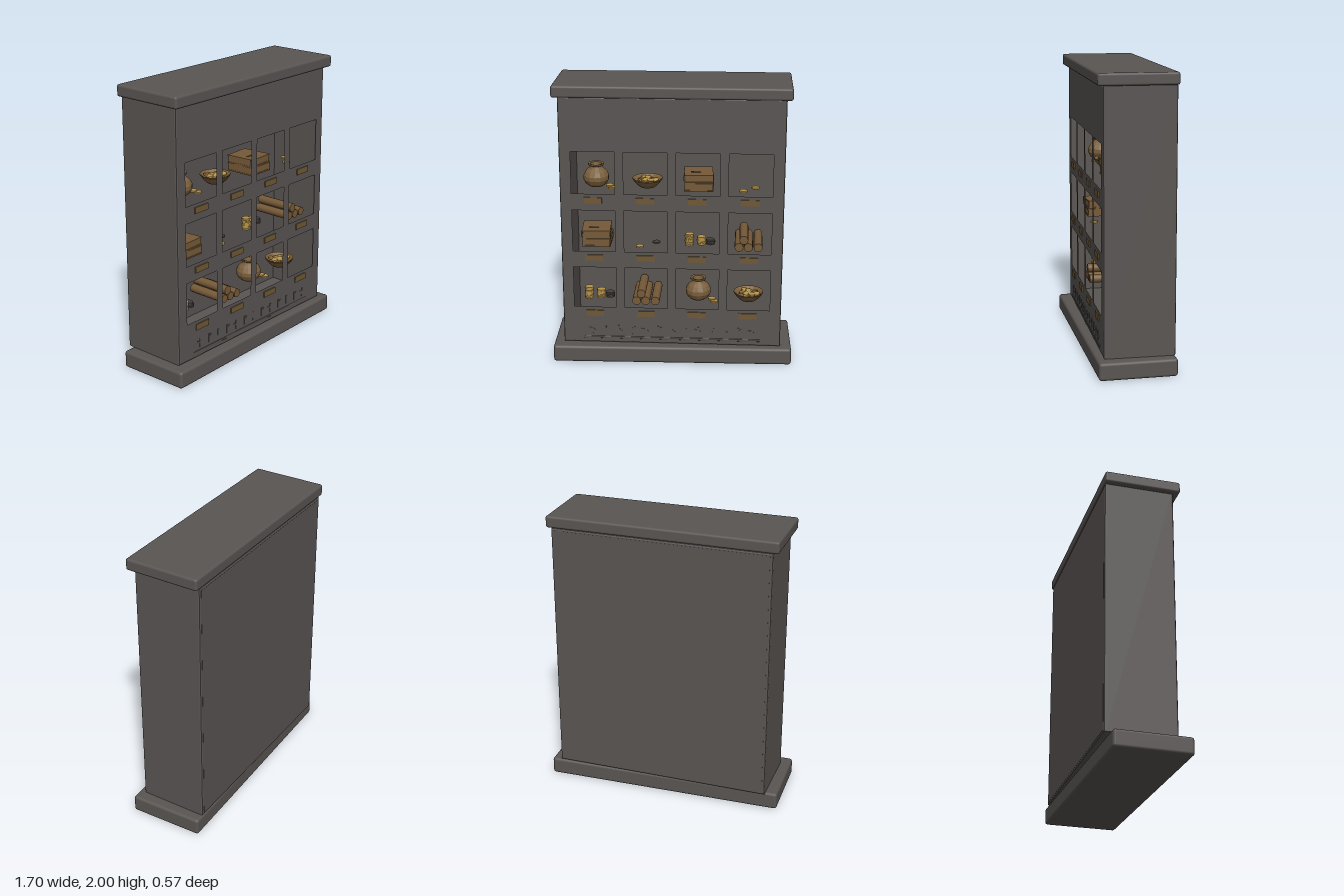
import * as THREE from 'three';
import { RoundedBoxGeometry } from 'three/addons/geometries/RoundedBoxGeometry.js';

const mat = (name, color, extra = {}) => {
  const m = new THREE.MeshStandardMaterial({ color, ...extra });
  m.name = name;
  return m;
};

export function createModel() {
  const stone = mat('dark stone', 0x595553, { side: THREE.DoubleSide });
  const clay = mat('brown clay', 0x7a5f3c, { flatShading: true, side: THREE.DoubleSide });
  const wood = mat('brown wood', 0x765a38);
  const brass = mat('dull brass', 0x6f5836);
  const gold = mat('gold', 0xb8944a);
  const iron = mat('dark iron', 0x454240);

  const model = new THREE.Group();
  model.name = 'treasureCabinet';

  const add = (parent, name, geo, material, x = 0, y = 0, z = 0) => {
    const m = new THREE.Mesh(geo, material);
    m.name = name;
    m.position.set(x, y, z);
    parent.add(m);
    return m;
  };
  const box = (w, h, d) => new THREE.BoxGeometry(w, h, d);
  const rect = (C, x0, y0, x1, y1) => {
    const p = new C();
    p.moveTo(x0, y0);
    p.lineTo(x1, y0);
    p.lineTo(x1, y1);
    p.lineTo(x0, y1);
    p.closePath();
    return p;
  };

  // Base (slightly turned) and top slab
  const base = add(model, 'base', new RoundedBoxGeometry(1.69, 0.122, 0.53, 3, 0.02), stone, 0, 0.061, 0);
  base.rotation.y = 0.023;
  add(model, 'topSlab', new RoundedBoxGeometry(1.615, 0.082, 0.53, 3, 0.016), stone, 0, 1.959, -0.02);

  // Hollow body: bevelled frame, back panel and front panel with openings
  const bev = 0.012;
  const frame = rect(THREE.Shape, -0.77 + bev, 0.125 + bev, 0.77 - bev, 1.92 - bev);
  frame.holes.push(rect(THREE.Path, -0.715, 0.18, 0.715, 1.87));
  const frameGeo = new THREE.ExtrudeGeometry(frame, {
    depth: 0.485 - 2 * bev, bevelThickness: bev, bevelSize: bev, bevelSegments: 2,
  });
  add(model, 'bodyFrame', frameGeo, stone, 0, 0, -0.281 + bev);
  add(model, 'backPanel', box(1.5, 1.76, 0.097), stone, 0, 1.0225, -0.2335);

  const columns = [-0.54, -0.18, 0.18, 0.54];
  const rows = [1.24, 0.82, 0.4];
  const front = rect(THREE.Shape, -0.757, 0.138, 0.757, 1.907);
  for (const x of columns) for (const y of rows) {
    front.holes.push(rect(THREE.Path, x - 0.15, y, x + 0.15, y + 0.3));
  }
  add(model, 'frontPanel', new THREE.ShapeGeometry(front), stone, 0, 0, 0.205);

  // Small ornamental marks above a long raised strip
  add(model, 'raisedStrip', new RoundedBoxGeometry(1.25, 0.016, 0.006, 2, 0.003), stone, 0, 0.167, 0.206);
  for (let i = 0; i < 13; i++) {
    const mark = new THREE.Group();
    mark.name = 'raisedMark';
    mark.position.set(-0.567 + i * 0.0945, 0.228, 0.206);
    add(mark, 'upright', box(0.011, 0.065, 0.006), stone);
    const side = i % 2 ? 1 : -1;
    const tick = add(mark, 'tick', box(0.032, 0.01, 0.006), stone, 0.012, 0.006 + side * 0.008, 0);
    tick.rotation.z = 0.7 * side;
    if (i % 4 === 0) {
      add(mark, 'crossbar', box(0.04, 0.01, 0.006), stone, -0.006, 0.005, 0).rotation.z = -0.4;
    }
    model.add(mark);
  }

  const coin = (g, x, y, z, material = gold, r = 0.028) =>
    add(g, 'coin', new THREE.CylinderGeometry(r, r, 0.011, 12), material, x, y + 0.0055, z);

  // Round pot with a narrow neck and flared lip
  const pot = (g) => {
    const pts = [[0, 0], [0.05, 0.001], [0.075, 0.02], [0.09, 0.05], [0.09, 0.078], [0.075, 0.108],
      [0.05, 0.13], [0.043, 0.145], [0.056, 0.153], [0.056, 0.164], [0.04, 0.16], [0.034, 0.13]];
    add(g, 'pot', new THREE.LatheGeometry(pts.map((p) => new THREE.Vector2(...p)), 14), clay);
    coin(g, 0.115, 0, 0.06);
    coin(g, 0.1, 0.008, 0.035);
  };

  // Shallow dish filled with coins
  const dish = (g) => {
    const pts = [[0, 0], [0.055, 0], [0.085, 0.028], [0.106, 0.056], [0.106, 0.064], [0.098, 0.06], [0.07, 0.03], [0, 0.02]];
    add(g, 'dish', new THREE.LatheGeometry(pts.map((p) => new THREE.Vector2(...p)), 16), clay);
    for (let i = 0; i < 9; i++) {
      const a = i * 2.4, r = 0.022 * Math.sqrt(i);
      const c = coin(g, Math.cos(a) * r, 0.046, Math.sin(a) * r, gold, 0.024);
      c.rotation.set(0.25 * Math.sin(a * 3), 0, 0.25 * Math.cos(a * 2));
    }
  };

  // Two stacked books with covers, pages and a clasp
  const books = (g) => {
    for (let i = 0; i < 2; i++) {
      const b = new THREE.Group();
      b.name = 'book';
      b.position.set(i ? -0.003 : 0.002, i * 0.06, 0);
      b.rotation.y = i ? 0.06 : 0;
      add(b, 'lowerCover', box(0.2, 0.009, 0.22), wood, 0, 0.0045, 0);
      add(b, 'pages', box(0.196, 0.042, 0.212), wood, 0, 0.029, 0);
      add(b, 'upperCover', box(0.2, 0.009, 0.22), wood, 0, 0.0535, 0);
      g.add(b);
    }
    add(g, 'clasp', box(0.012, 0.035, 0.02), iron, -0.096, 0.095, 0.105);
    add(g, 'coverBand', box(0.07, 0.004, 0.015), iron, -0.02, 0.119, 0.03);
  };

  // Coin stacks of falling height
  const stacks = (g) => {
    [[-0.065, 0.03, 7, gold], [0.02, 0.01, 5, gold], [0.085, 0, 3, iron]].forEach(([x, z, n, m]) => {
      for (let i = 0; i < n; i++) {
        coin(g, x + 0.003 * Math.sin(i * 2.3), i * 0.0123, z + 0.003 * Math.cos(i * 1.7), m, 0.031);
      }
    });
  };

  // Rolled scrolls lying front to back
  const scrolls = (g) => {
    [[-0.073, 0.031], [-0.008, 0.031], [0.06, 0.031], [-0.04, 0.085]].forEach(([x, y]) => {
      add(g, 'scroll', new THREE.CylinderGeometry(0.031, 0.031, 0.3, 12), wood, x, y, 0).rotation.x = Math.PI / 2;
    });
  };

  // A few loose coins
  const looseCoins = (g) => {
    coin(g, -0.05, 0, 0.09);
    coin(g, 0.035, 0, 0.01);
  };
  const mixedCoins = (g) => {
    coin(g, -0.05, 0, 0.095);
    coin(g, 0.06, 0, 0, iron);
  };

  // Contents and label plate of each opening
  const contents = [
    [pot, dish, books, looseCoins],
    [books, mixedCoins, stacks, scrolls],
    [stacks, scrolls, pot, dish],
  ];
  rows.forEach((y, r) => columns.forEach((x, c) => {
    const g = new THREE.Group();
    g.name = 'nicheContents';
    g.position.set(x, y, 0.005);
    contents[r][c](g);
    model.add(g);
    add(model, 'labelPlate', box(0.126, 0.043, 0.009), brass, x - 0.003, y - 0.046, 0.2085);
  }));

  return model;
}
